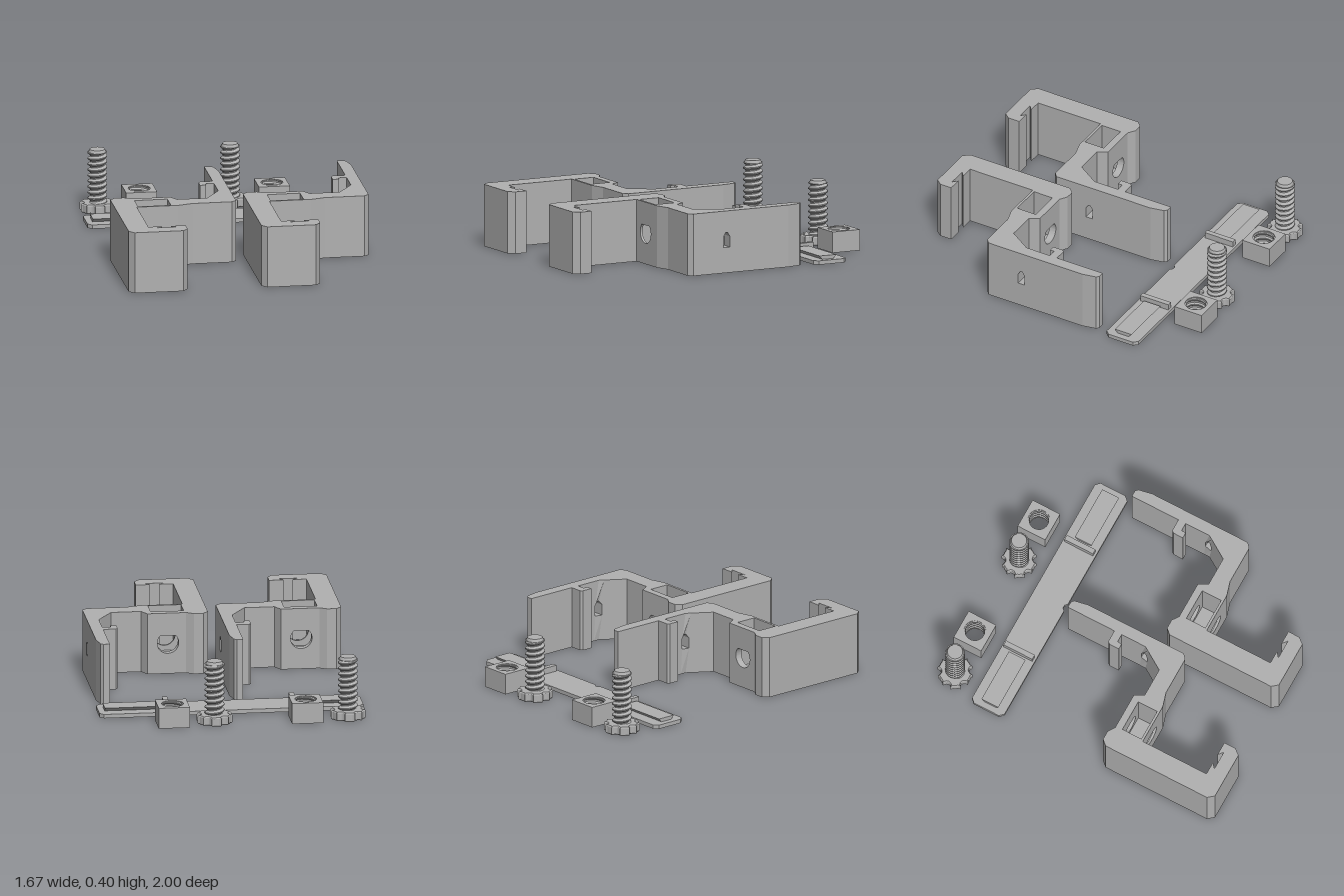
import * as THREE from 'three';
import { toCreasedNormals } from 'three/addons/utils/BufferGeometryUtils.js';

const H = 0.395;      // bracket height
const STEP = 0.845;   // spacing between the two sets
const PITCH = 0.037;  // screw thread pitch

// Closed shape from [x, y] pairs
const shapeOf = (pts) => new THREE.Shape(pts.map(([x, y]) => new THREE.Vector2(x, y)));
const extrude = (shape, depth, extra = {}) =>
  new THREE.ExtrudeGeometry(shape, { depth, bevelEnabled: false, curveSegments: 24, ...extra });

// Plan outline in [x, z] raised from y0 to y1
const slab = (pts, y0, y1) =>
  extrude(shapeOf(pts.map(([x, z]) => [x, -z])), y1 - y0).rotateX(-Math.PI / 2).translate(0, y0, 0);

// Helical surface between a core and a crest radius, cut off at y0 and y1
function threadGeometry(core, crest, y0, y1) {
  const seg = 28, profile = [[0, core], [0.32, crest], [0.5, crest], [0.82, core]];
  const turns = Math.ceil((y1 - y0) / PITCH) + 1, pos = [], index = [];
  const rows = (turns + 1) * profile.length;
  for (let i = 0; i <= rows; i++) {
    const [f, r] = profile[i % profile.length];
    const turn = Math.floor(i / profile.length) - 1;
    for (let j = 0; j <= seg; j++) {
      const t = (j / seg) * Math.PI * 2;
      const y = y0 + PITCH * (turn + f + j / seg);
      pos.push(r * Math.cos(t), Math.min(y1, Math.max(y0, y)), -r * Math.sin(t));
      if (i < rows && j < seg) {
        const a = i * (seg + 1) + j, c = a + seg + 1;
        index.push(a, a + 1, c, a + 1, c + 1, c);
      }
    }
  }
  const g = new THREE.BufferGeometry();
  g.setAttribute('position', new THREE.Float32BufferAttribute(pos, 3));
  g.setIndex(index);
  return toCreasedNormals(g, 0.5);
}

// Wall of the nut pocket with a teardrop bolt hole
function pocketWall(z0, z1) {
  const shape = shapeOf([[-0.665, 0], [-0.456, 0], [-0.456, H], [-0.665, H]]);
  const hole = new THREE.Path(), cx = -0.56, cy = 0.2, r = 0.068;
  hole.moveTo(cx, cy + r * Math.SQRT2);
  hole.absarc(cx, cy, r, Math.PI * 0.75, Math.PI * 2.25, false);
  hole.closePath();
  shape.holes.push(hole);
  return toCreasedNormals(extrude(shape, z1 - z0).translate(0, 0, z0), 0.5);
}

// Short stretch of the upright wall with a small pointed slot through it
function slottedWall() {
  const shape = shapeOf([[0.1, 0], [0.14, 0], [0.17, 0], [0.17, H], [0.14, H], [0.1, H]]);
  shape.holes.push(new THREE.Path([[0.111, 0.163], [0.111, 0.232], [0.128, 0.257], [0.141, 0.257],
    [0.158, 0.232], [0.158, 0.163]].map(([x, y]) => new THREE.Vector2(x, y))));
  const g = extrude(shape, 0.075).rotateY(-Math.PI / 2).translate(-0.035, 0, 0);
  const p = g.attributes.position;
  // Lean the inner face into the gusset slope
  for (let i = 0; i < p.count; i++) {
    if (p.getX(i) < -0.1) p.setX(i, -0.11 - Math.max(0, p.getZ(i) - 0.14) * 0.64);
  }
  g.computeVertexNormals();
  return g;
}

export function createModel() {
  const root = new THREE.Group();
  const grey = new THREE.MeshStandardMaterial({ color: 0xb0b0b0 });
  grey.name = 'plastic grey';
  grey.side = THREE.DoubleSide;
  const add = (parent, name, geometry) => {
    const mesh = new THREE.Mesh(geometry, grey);
    mesh.name = name;
    parent.add(mesh);
    return mesh;
  };

  // Clamp bracket
  const bracket = new THREE.Group();
  bracket.name = 'bracket';
  add(bracket, 'frontHook', slab([
    [-0.813, 0.235], [-0.78, 0.2], [-0.72, 0.2], [-0.675, 0.23], [-0.665, 0.23], [-0.665, 0.427],
    [-0.675, 0.427], [-0.675, 0.882], [-0.588, 0.882], [-0.622, 0.91], [-0.496, 0.91], [-0.53, 0.882],
    [-0.438, 0.882], [-0.438, 0.96], [-0.47, 1], [-0.78, 1], [-0.813, 0.96]], 0, H));
  add(bracket, 'pocketRearWall', pocketWall(0.23, 0.276));
  add(bracket, 'pocketFrontWall', pocketWall(0.411, 0.427));
  add(bracket, 'pocketFloor', slab([[-0.665, 0.276], [-0.456, 0.276], [-0.456, 0.411], [-0.665, 0.411]], 0, 0.1));
  add(bracket, 'crossArm', slab([
    [-0.456, 0.23], [-0.43, 0.23], [-0.397, 0.29], [-0.206, 0.29], [-0.129, 0.17], [-0.035, 0.17],
    [-0.035, 0.374], [-0.065, 0.4], [-0.317, 0.4], [-0.41, 0.427], [-0.456, 0.427]], 0, H));
  add(bracket, 'slottedWall', slottedWall());
  add(bracket, 'rearArm', slab([
    [-0.035, 0.1], [-0.11, 0.1], [-0.11, -0.03], [-0.164, -0.03], [-0.164, 0], [-0.203, 0],
    [-0.203, -0.067], [-0.19, -0.082], [-0.11, -0.082], [-0.11, -0.415], [-0.07, -0.415],
    [-0.053, -0.4], [-0.035, -0.31]], 0, H));

  // Thumb screw with a six-lobed head
  const screw = new THREE.Group();
  screw.name = 'thumbScrew';
  const lobes = [];
  for (let k = 0; k < 6; k++) {
    const mid = (k * Math.PI) / 3;   // middle of a scallop
    for (let i = -3; i <= 3; i++) {  // concave scallop
      const a = mid + Math.PI + (-i * Math.PI) / 7.5;
      lobes.push([0.112 * Math.cos(mid) + 0.03 * Math.cos(a), 0.112 * Math.sin(mid) + 0.03 * Math.sin(a)]);
    }
    for (const d of [0.36, 0.52, 0.69]) lobes.push([0.1 * Math.cos(mid + d), 0.1 * Math.sin(mid + d)]);
  }
  const head = extrude(shapeOf(lobes), 0.042,
    { bevelEnabled: true, bevelThickness: 0.008, bevelSize: 0.005, bevelSegments: 1 });
  add(screw, 'screwHead', toCreasedNormals(head.rotateX(-Math.PI / 2).translate(0, 0.008, 0), 0.4));
  add(screw, 'screwThread', threadGeometry(0.046, 0.062, 0.05, 0.385));
  add(screw, 'screwTip', toCreasedNormals(
    new THREE.CylinderGeometry(0.048, 0.057, 0.022, 28).translate(0, 0.392, 0), 0.5));
  screw.position.set(-0.712, 0, -0.895);

  // Square nut with an internal thread
  const nut = new THREE.Group();
  nut.name = 'squareNut';
  const s = 0.0985, square = shapeOf([[-s, -s], [s, -s], [s, s], [-s, s]]);
  square.holes.push(new THREE.Path().absarc(0, 0, 0.069, 0, Math.PI * 2, true));
  add(nut, 'nutBody', toCreasedNormals(extrude(square, 0.133).rotateX(-Math.PI / 2), 0.5));
  add(nut, 'nutThread', threadGeometry(0.071, 0.061, 0.006, 0.127));
  nut.position.set(-0.445, 0, -0.898);

  // Two sets side by side
  for (const part of [bracket, screw, nut]) {
    const copy = part.clone();
    copy.position.x += STEP;
    root.add(part, copy);
  }

  // Connecting strap with a small centre notch
  const strap = new THREE.Group();
  strap.name = 'strap';
  add(strap, 'strapPlate', slab([
    [-0.836, -0.694], [-0.81, -0.72], [0.81, -0.72], [0.836, -0.694], [0.836, -0.516], [0.81, -0.488],
    [0.026, -0.488], [0.01, -0.503], [-0.01, -0.503], [-0.026, -0.488], [-0.81, -0.488], [-0.836, -0.516]], 0, 0.025));
  for (const side of [-1, 1]) {
    // Dovetail rail and stop ridge at each end
    const rail = shapeOf([[-0.04, 0.025], [0.04, 0.025], [0.06, 0.048], [-0.06, 0.048]]);
    add(strap, 'dovetailRail', extrude(rail, 0.361).rotateY(Math.PI / 2)
      .translate(side * 0.6165 - 0.1805, 0, -0.6));
    add(strap, 'stopRidge', new THREE.BoxGeometry(0.033, 0.04, 0.204).translate(side * 0.401, 0.044, -0.605));
  }
  root.add(strap);
  return root;
}
